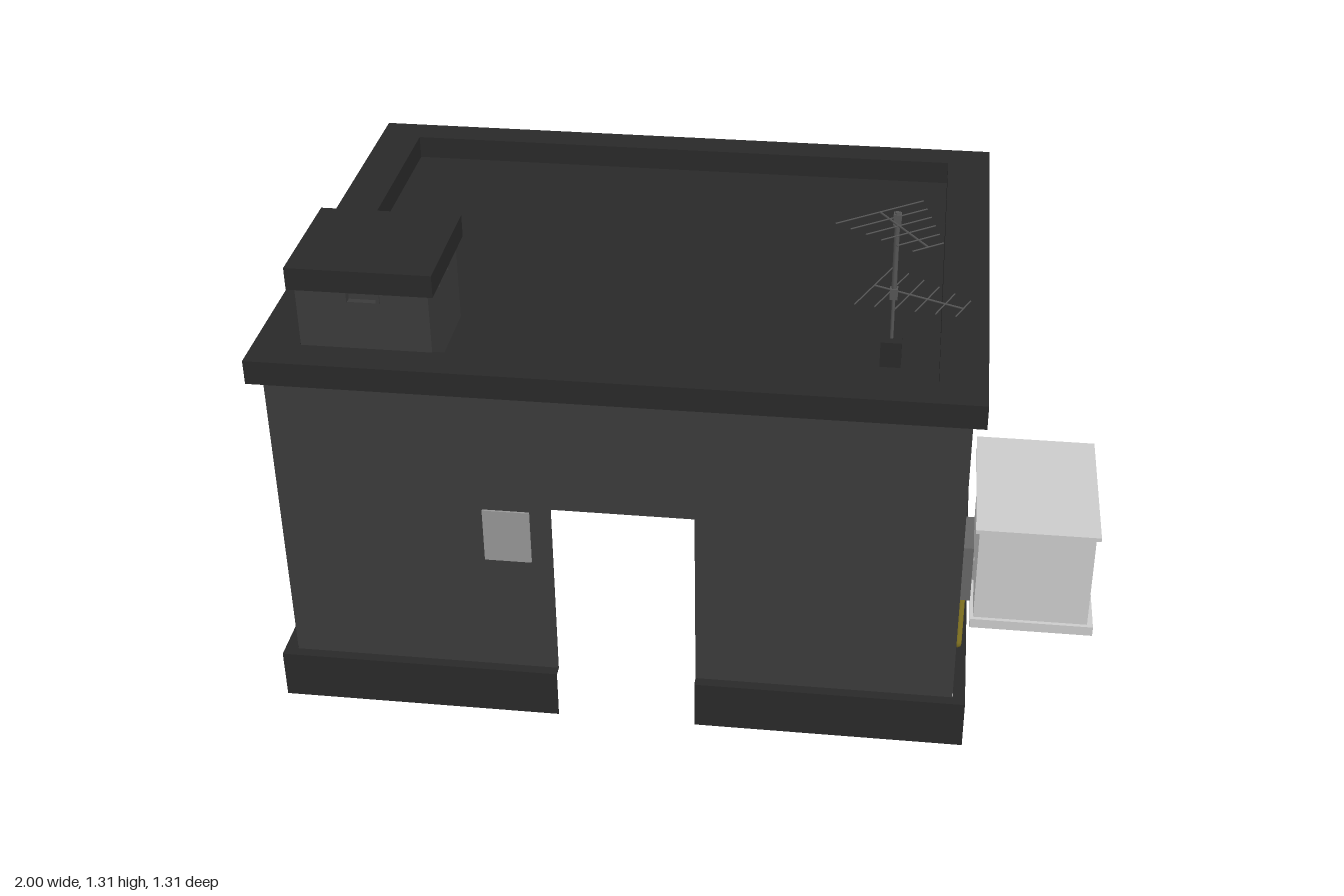
import * as THREE from 'three';

const mat = (color) => new THREE.MeshStandardMaterial({ color });
const M = {
  wall: mat(0x3b3b3b), trim: mat(0x292929), metal: mat(0x555555), light: mat(0xcccccc),
  grille: mat(0xb4b4b4), panel: mat(0x969696), cabinet: mat(0x666666),
  pane: mat(0xe69494), pipe: mat(0x8c7c24),
};

function add(parent, name, geo, material) {
  const mesh = new THREE.Mesh(geo, material);
  mesh.name = name;
  parent.add(mesh);
  return mesh;
}

function addGroup(parent, name) {
  const g = new THREE.Group();
  g.name = name;
  parent.add(g);
  return g;
}

// Box given by its extents on each axis
function box(parent, name, material, [x0, x1], [y0, y1], [z0, z1]) {
  const m = add(parent, name, new THREE.BoxGeometry(x1 - x0, y1 - y0, z1 - z0), material);
  m.position.set((x0 + x1) / 2, (y0 + y1) / 2, (z0 + z1) / 2);
}

const points = (list) => list.map((p) => new THREE.Vector2(...p));
const rect = (x0, x1, y0, y1) => points([[x0, y0], [x1, y0], [x1, y1], [x0, y1]]);

function extrude(outline, holes, depth) {
  const shape = new THREE.Shape(outline);
  holes.forEach((h) => shape.holes.push(new THREE.Path(h)));
  return new THREE.ExtrudeGeometry(shape, { depth, bevelEnabled: false });
}

// Plan outline (x, z) extruded from y0 up to y1
function plan(parent, name, material, outline, holes, y0, y1) {
  const geo = extrude(outline, holes, y1 - y0).rotateX(Math.PI / 2).translate(0, y1, 0);
  add(parent, name, geo, material);
}

const DOOR = [-0.315, 0.022];

// Rectangular ring of thickness t with a doorway left open at the front
function ringWithGap(x0, x1, z, t) {
  return points([
    [DOOR[0], z], [x0, z], [x0, -z], [x1, -z], [x1, z], [DOOR[1], z],
    [DOOR[1], z - t], [x1 - t, z - t], [x1 - t, t - z], [x0 + t, t - z], [x0 + t, z - t], [DOOR[0], z - t],
  ]);
}

function rod(parent, name, a, b, r, material, sides = 6) {
  const dir = b.clone().sub(a);
  const m = add(parent, name, new THREE.CylinderGeometry(r, r, dir.length(), sides), material);
  m.position.copy(a).add(b).multiplyScalar(0.5);
  m.quaternion.setFromUnitVectors(new THREE.Vector3(0, 1, 0), dir.normalize());
}

// Thin shell, open below and at the doorway
function buildHouse(root) {
  const g = addGroup(root, 'building');
  const t = 0.003;
  plan(g, 'walls', M.wall, ringWithGap(-0.967, 0.642, 0.63, t), [], 0.122, 0.907);
  box(g, 'doorLintel', M.wall, DOOR, [0.595, 0.907], [0.63 - t, 0.63]);
  plan(g, 'plinth', M.trim, ringWithGap(-1, 0.672, 0.655, t), [], 0, 0.122);
  plan(g, 'plinthLedge', M.trim, ringWithGap(-1, 0.672, 0.655, 0.029), [], 0.122, 0.125);
  plan(g, 'parapet', M.trim, rect(-1, 0.672, -0.655, 0.655), [rect(-0.892, 0.562, -0.572, 0.565)], 0.905, 0.965);
  box(g, 'roof', M.trim, [-0.9, 0.57], [0.9, 0.905], [-0.58, 0.575]);
  box(g, 'frontPanel', M.panel, [-0.478, -0.366], [0.442, 0.583], [0.622, 0.635]);
}

function buildWindow(root) {
  const g = addGroup(root, 'window');
  // Shape x runs along -z once turned to face +x
  const holes = [];
  for (let c = 0; c < 4; c++) {
    for (let r = 0; r < 2; r++) {
      const x = -0.174 + c * 0.0885, y = 0.543 + r * 0.13;
      holes.push(rect(x, x + 0.08, y, y + 0.124));
    }
  }
  const geo = extrude(rect(-0.208, 0.211, 0.517, 0.823), holes, 0.014).rotateY(Math.PI / 2).translate(0.637, 0, 0);
  add(g, 'windowFrame', geo, M.light);
  box(g, 'windowPanes', M.pane, [0.639, 0.645], [0.53, 0.81], [-0.2, 0.195]);
}

function buildChimney(root) {
  const g = addGroup(root, 'chimney');
  g.position.set(-0.736, 0, 0.4315);
  const w = 0.153, d = 0.1375, t = 0.015;
  plan(g, 'chimneyBody', M.wall, rect(-w, w, -d, d), [rect(-w + t, w - t, -d + t, d - t)], 0.9, 1.085);
  // Four L-shaped corners leave a framed vent slot in every side
  for (const sx of [-1, 1]) {
    for (const sz of [-1, 1]) {
      const span = (s, a, b) => (s > 0 ? [a, b] : [-b, -a]);
      const y = [1.085, 1.12];
      box(g, 'ventWallFront', M.wall, span(sx, 0.034, w), y, span(sz, d - t, d));
      box(g, 'ventWallSide', M.wall, span(sx, w - t, w), y, span(sz, 0.037, d - t));
      box(g, 'ventFrameFront', M.wall, span(sx, 0.034, 0.042), y, span(sz, d, d + 0.005));
      box(g, 'ventFrameSide', M.wall, span(sx, w, w + 0.005), y, span(sz, 0.037, 0.045));
    }
  }
  box(g, 'chimneyCap', M.trim, [-0.168, 0.168], [1.115, 1.17], [-0.151, 0.151]);
}

// Boom with cross rods that shorten towards the tip
function buildAerial(parent, name, y, from, to, longHalf, shortHalf, count) {
  const g = addGroup(parent, name);
  const a = new THREE.Vector3(from[0], y, from[1]), b = new THREE.Vector3(to[0], y, to[1]);
  const dir = b.clone().sub(a).normalize();
  const side = new THREE.Vector3(-dir.z, 0, dir.x);
  rod(g, 'boom', a, b, 0.0025, M.metal);
  for (let i = 0; i < count; i++) {
    const k = i / (count - 1);
    const p = a.clone().lerp(b, k);
    const arm = side.clone().multiplyScalar(THREE.MathUtils.lerp(longHalf, shortHalf, k));
    rod(g, 'crossRod', p.clone().sub(arm), p.clone().add(arm), 0.0018, M.metal);
  }
}

function buildAntenna(root) {
  const g = addGroup(root, 'antenna');
  const x = 0.45, z = 0.432;
  const at = (y) => new THREE.Vector3(x, y, z);
  box(g, 'antennaPlatform', M.trim, [0.347, 0.562], [0.9, 0.93], [0.287, 0.565]);
  box(g, 'antennaFoot', M.trim, [x - 0.024, x + 0.024], [0.93, 0.994], [z - 0.024, z + 0.024]);
  rod(g, 'lowerMast', at(0.98), at(1.11), 0.004, M.metal, 8);
  rod(g, 'upperMast', at(1.1), at(1.312), 0.006, M.metal, 8);
  for (const y of [1.11, 1.296]) {
    box(g, 'clamp', M.metal, [x - 0.009, x + 0.009], [y - 0.013, y + 0.013], [z - 0.009, z + 0.009]);
  }
  buildAerial(g, 'upperAerial', 1.294, [0.41, 0.4], [0.52, 0.555], 0.115, 0.04, 6);
  buildAerial(g, 'lowerAerial', 1.115, [0.405, 0.41], [0.605, 0.495], 0.1, 0.04, 6);
}

function buildFuseBox(root) {
  const g = addGroup(root, 'fuseBox');
  box(g, 'fuseBoxBody', M.cabinet, [0.64, 0.67], [0.32, 0.473], [0.372, 0.502]);
  box(g, 'fuseBoxHandle', M.panel, [0.667, 0.675], [0.375, 0.432], [0.478, 0.492]);
  // Two bent pipes running down and along the wall behind the cooling unit
  for (const [z, y] of [[0.452, 0.138], [0.405, 0.174]]) {
    const r = 0.02, path = new THREE.CurvePath();
    const v = (yy, zz) => new THREE.Vector3(0.651, yy, zz);
    path.add(new THREE.LineCurve3(v(0.33, z), v(y + r, z)));
    path.add(new THREE.QuadraticBezierCurve3(v(y + r, z), v(y, z), v(y, z - r)));
    path.add(new THREE.LineCurve3(v(y, z - r), v(y, 0.14)));
    add(g, 'pipe', new THREE.TubeGeometry(path, 60, 0.009, 8), M.pipe);
  }
}

function buildCoolingUnit(root) {
  const g = addGroup(root, 'coolingUnit');
  box(g, 'unitBase', M.light, [0.685, 1], [0.017, 0.044], [-0.22, 0.217]);
  box(g, 'unitBody', M.light, [0.693, 0.985], [0.04, 0.316], [-0.207, 0.207]);
  box(g, 'unitSidePanel', M.grille, [0.98, 0.988], [0.044, 0.314], [-0.206, 0.065]);
  box(g, 'unitLid', M.light, [0.683, 0.996], [0.314, 0.325], [-0.219, 0.217]);
}

export function createModel() {
  const root = new THREE.Group();
  root.name = 'utilityBuilding';
  [buildHouse, buildWindow, buildChimney, buildAntenna, buildFuseBox, buildCoolingUnit].forEach((f) => f(root));
  return root;
}
